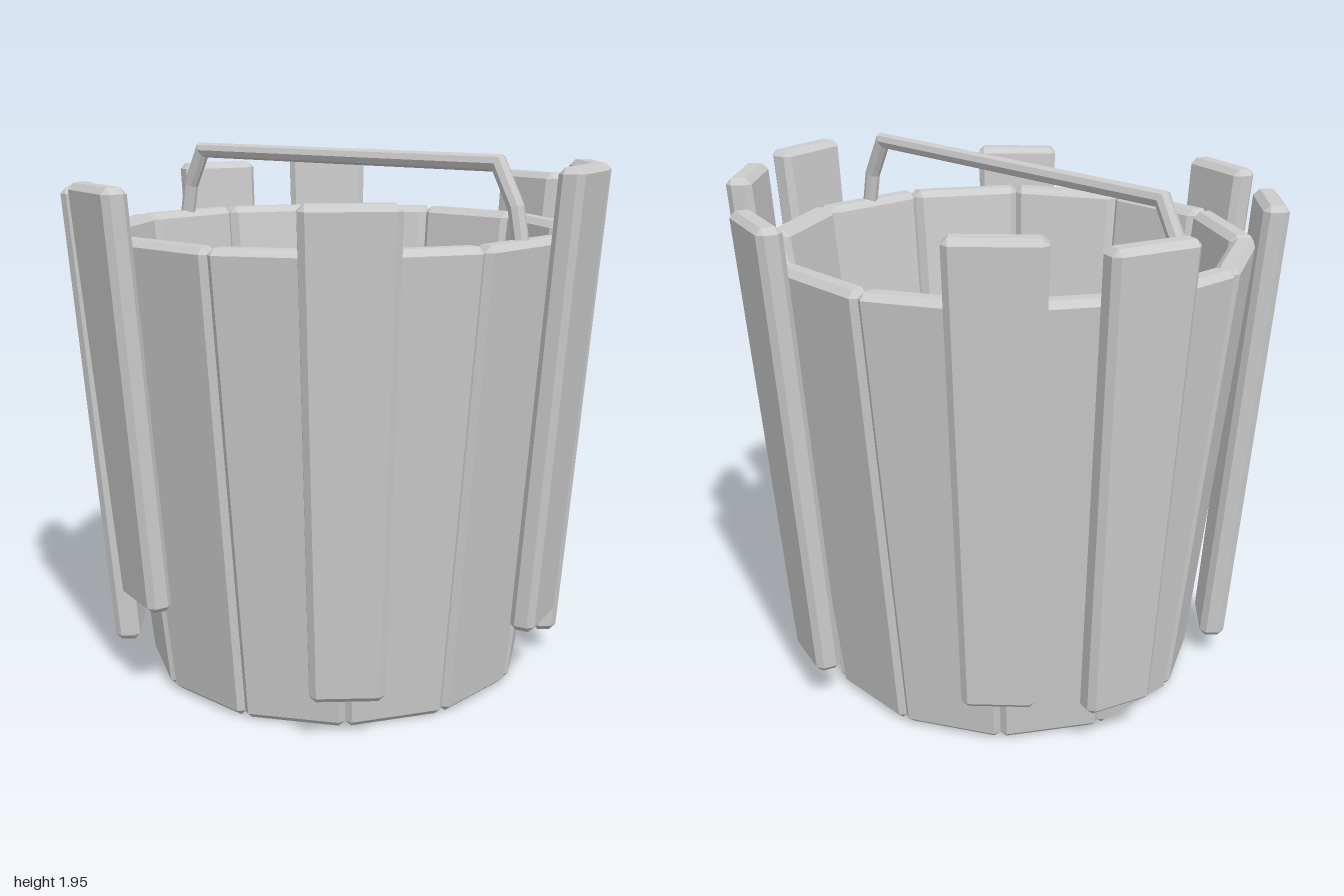
import * as THREE from 'three';
import { ConvexGeometry } from 'three/addons/geometries/ConvexGeometry.js';

const material = new THREE.MeshStandardMaterial({ color: 0xcccccc, flatShading: true });
const lerp = THREE.MathUtils.lerp;
const TAN = Math.tan(Math.PI / 12); // half angle of one of 12 staves

// Chamfered leaning board facing +z; r = outer distance [bottom, top],
// halfWidth(t, z) gives the half width at height fraction t and distance z
function board(y0, y1, r, thickness, c, halfWidth) {
  const points = [];
  for (const sx of [-1, 1]) for (const sy of [-1, 1]) for (const sz of [-1, 1]) {
    for (let axis = 0; axis < 3; axis++) {
      const inset = [0, 1, 2].map((k) => (k === axis ? 0 : c));
      const y = (sy < 0 ? y0 : y1) - sy * inset[1];
      const t = (y - y0) / (y1 - y0);
      const z = lerp(r[0], r[1], t) - (sz < 0 ? thickness : 0) - sz * inset[2];
      const x = sx * (halfWidth(t, z) - inset[0]);
      points.push(new THREE.Vector3(x, y, z));
    }
  }
  return new ConvexGeometry(points);
}

function add(parent, name, geometry, angle = 0) {
  const mesh = new THREE.Mesh(geometry, material);
  mesh.name = name;
  mesh.rotation.y = THREE.MathUtils.degToRad(angle);
  parent.add(mesh);
  return mesh;
}

// Angular bar along a path of [z, y] points, with mitred corners
function bar(path, radius) {
  const n = path.length - 1;
  const geometry = new THREE.CylinderGeometry(radius, radius, 1, 8, n);
  const p = path.map(([z, y]) => new THREE.Vector2(z, y));
  const dir = (i) => p[i + 1].clone().sub(p[i]).normalize();
  const pos = geometry.attributes.position;
  for (let v = 0; v < pos.count; v++) {
    const i = Math.round((0.5 - pos.getY(v)) * n);
    const a = dir(Math.max(i - 1, 0));
    const t = a.clone().add(dir(Math.min(i, n - 1))).normalize();
    const d = pos.getZ(v) / t.dot(a);
    pos.setXYZ(v, pos.getX(v), p[i].y + t.x * d, p[i].x - t.y * d);
  }
  geometry.computeVertexNormals();
  return geometry;
}

export function createModel() {
  const model = new THREE.Group();
  model.name = 'bucket';

  // Ring of wedge-shaped staves
  const staves = new THREE.Group();
  staves.name = 'staves';
  model.add(staves);
  const stave = board(0, 1.675, [0.692, 0.872], 0.092, 0.023, (t, z) => z * TAN);
  for (let i = 0; i < 12; i++) add(staves, 'stave', stave, i * 30);

  // Floor
  const floor = new THREE.CylinderGeometry(0.635, 0.635, 0.035, 12);
  floor.translate(0, 0.033, 0);
  add(model, 'floor', floor, 15);

  // Outer planks over the seams: angle, bottom, top
  const planks = new THREE.Group();
  planks.name = 'outerPlanks';
  model.add(planks);
  const layout = [
    [15, 0.26, 1.91], [45, 0.1, 1.9], [75, 0.14, 1.835], [135, 0.22, 1.9],
    [165, 0.16, 1.855], [225, 0.09, 1.82], [255, 0.355, 1.85], [315, 0.16, 1.825],
  ];
  for (const [angle, y0, y1] of layout) {
    const plank = board(y0, y1, [0.853, 0.985], 0.092, 0.022, (t) => lerp(0.127, 0.161, t));
    add(planks, 'outerPlank', plank, angle);
  }

  // Carrying handle from front to back
  const half = [[0.835, 1.6], [0.8, 1.78], [0.725, 1.92]];
  const path = [...half, ...half.map(([z, y]) => [-z, y]).reverse()];
  add(model, 'handle', bar(path, 0.029));

  return model;
}
